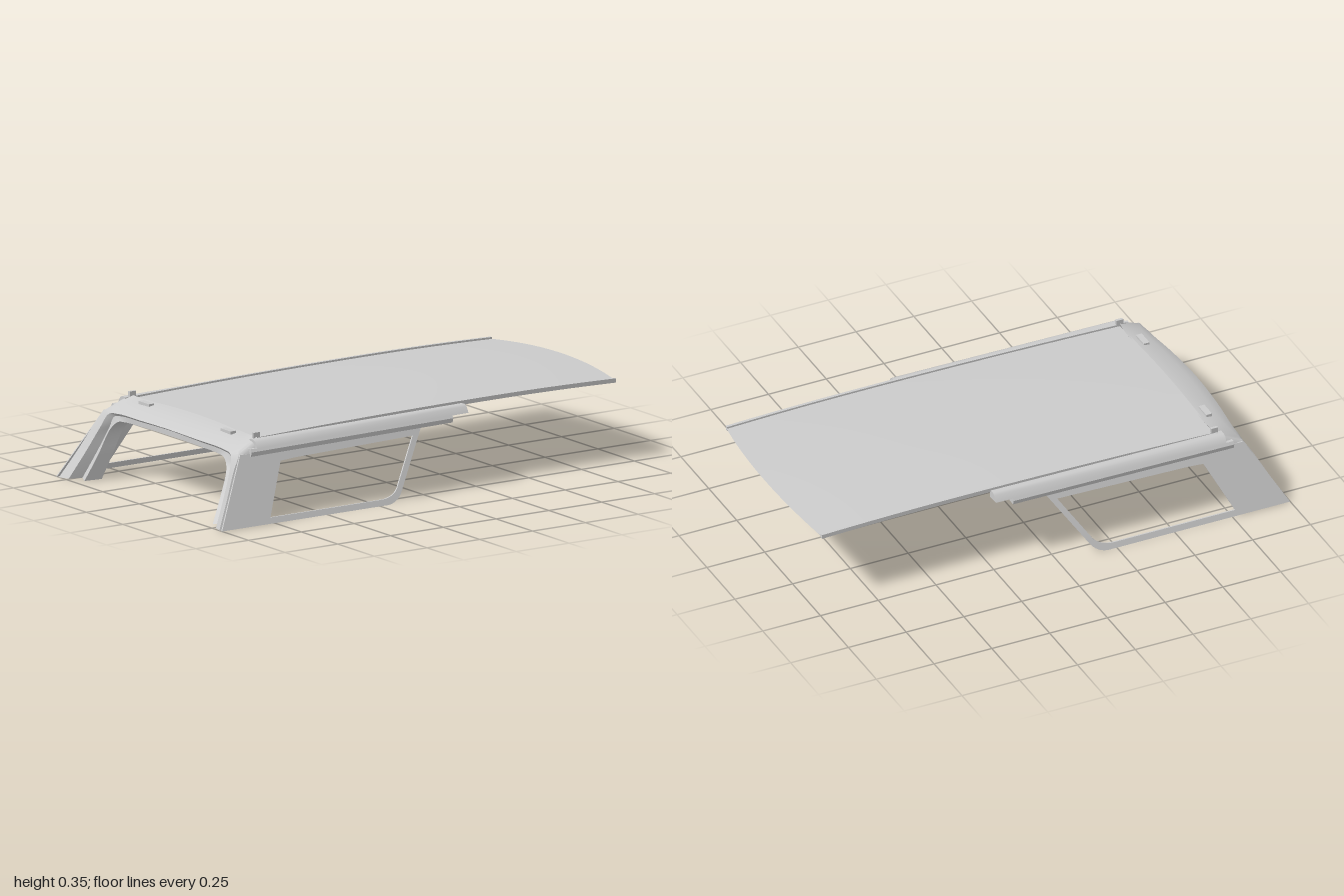
import * as THREE from 'three';
import { toCreasedNormals } from 'three/addons/utils/BufferGeometryUtils.js';

const material = new THREE.MeshStandardMaterial({ color: 0xcccccc, side: THREE.DoubleSide });

function addMesh(parent, name, geometry) {
  const mesh = new THREE.Mesh(geometry, material);
  mesh.name = name;
  parent.add(mesh);
  return mesh;
}

// Height of the gently crowned roof skin
function roofY(x, z) {
  const t = (x - 0.4) / (x > 0.4 ? 0.6 : 1.14);
  return 0.346 - (x > 0.4 ? 0.011 : 0.018) * t * t - 0.022 * (z / 0.43) ** 2;
}

const roofFrontX = (z) => 1 - 0.04 * (z / 0.43) ** 2;

// Move every vertex of a geometry by a rule
function deform(geometry, rule) {
  const p = geometry.attributes.position;
  const v = new THREE.Vector3();
  for (let i = 0; i < p.count; i++) {
    v.fromBufferAttribute(p, i);
    rule(v);
    p.setXYZ(i, v.x, v.y, v.z);
  }
  geometry.computeVertexNormals();
  return geometry;
}

function roofSkin() {
  const g = new THREE.PlaneGeometry(1, 0.86, 32, 24);
  g.rotateX(-Math.PI / 2);
  return deform(g, (v) => {
    v.x = THREE.MathUtils.lerp(-0.74, roofFrontX(v.z), v.x + 0.5);
    v.y = roofY(v.x, v.z);
  });
}

// Folded lip under the curved open end of the roof
function roofLip() {
  const g = new THREE.PlaneGeometry(0.86, 1, 24, 1);
  return deform(g, (v) => {
    const z = -v.x, low = v.y < 0;
    v.set(roofFrontX(z) - (low ? 0.015 : 0), 0, z);
    v.y = roofY(v.x, z) - (low ? 0.008 : 0);
  });
}

// Narrow rail that follows the roof's side edge
function edgeRail() {
  const g = new THREE.BoxGeometry(1.7, 0.017, 0.012, 32, 1, 1);
  return toCreasedNormals(deform(g, (v) => {
    v.x += 0.11;
    v.z += 0.425;
    v.y += roofY(v.x, 0.43);
  }), 0.5);
}

// Window surround with a rounded lower corner, leaning inwards towards the top
function sideFrame() {
  const shape = new THREE.Shape();
  shape.moveTo(-1, 0);
  shape.lineTo(-0.21, 0);
  shape.quadraticCurveTo(-0.165, 0.005, -0.14, 0.04);
  shape.lineTo(0.012, 0.265);
  shape.lineTo(-0.845, 0.265);
  const hole = new THREE.Path();
  hole.moveTo(-0.765, 0.023);
  hole.lineTo(-0.665, 0.222);
  hole.lineTo(-0.6, 0.226);
  hole.lineTo(-0.035, 0.237);
  hole.lineTo(-0.155, 0.058);
  hole.quadraticCurveTo(-0.18, 0.024, -0.24, 0.023);
  shape.holes.push(hole);
  const g = new THREE.ExtrudeGeometry(shape, { depth: 0.006, bevelEnabled: false, curveSegments: 8 });
  return deform(g, (v) => { v.z += 0.563 - 0.38 * v.y; });
}

// Constant [z, y] section run along x with a slight rise
function sideRail(section, x0, x1) {
  const shape = new THREE.Shape(section.map(([z, y]) => new THREE.Vector2(-z, y)));
  const g = new THREE.ExtrudeGeometry(shape, { depth: x1 - x0, bevelEnabled: false });
  g.rotateY(Math.PI / 2);
  return toCreasedNormals(deform(g, (v) => {
    v.x += x0;
    v.y += 0.01 * v.x;
  }), 0.6);
}

// Rear arch sections [x, y, z], from the foot of a pillar to the centre of the header
const archSections = [
  [[-0.8, 0, 0.562], [-1, 0, 0.55], [-0.985, 0, 0.505], [-0.93, 0, 0.49], [-0.955, 0, 0.44], [-0.88, 0, 0.43]],
  [[-0.79, 0.1, 0.525], [-0.942, 0.1, 0.515], [-0.93, 0.1, 0.475], [-0.885, 0.1, 0.46], [-0.905, 0.1, 0.42], [-0.84, 0.1, 0.412]],
  [[-0.78, 0.2, 0.488], [-0.888, 0.2, 0.482], [-0.88, 0.2, 0.445], [-0.845, 0.2, 0.43], [-0.863, 0.2, 0.4], [-0.8, 0.2, 0.394]],
  [[-0.745, 0.312, 0.445], [-0.845, 0.268, 0.457], [-0.856, 0.258, 0.42], [-0.843, 0.25, 0.4], [-0.85, 0.236, 0.365], [-0.785, 0.238, 0.36]],
  [[-0.735, 0.315, 0.36], [-0.81, 0.3, 0.36], [-0.852, 0.27, 0.36], [-0.843, 0.262, 0.34], [-0.845, 0.243, 0.32], [-0.775, 0.246, 0.32]],
  [[-0.735, 0.322, 0.2], [-0.815, 0.308, 0.2], [-0.864, 0.278, 0.2], [-0.85, 0.268, 0.2], [-0.85, 0.249, 0.2], [-0.775, 0.252, 0.2]],
  [[-0.735, 0.326, 0], [-0.82, 0.312, 0], [-0.87, 0.283, 0], [-0.852, 0.273, 0], [-0.852, 0.252, 0], [-0.775, 0.256, 0]],
];

// Both pillars and the header as one lofted arch
function rearArch() {
  const mirrored = archSections.slice(0, -1).reverse()
    .map((section) => section.map(([x, y, z]) => [x, y, -z]));
  const all = [...archSections, ...mirrored];
  const sides = 6, steps = 72, positions = [], index = [];
  const edges = [];
  for (let j = 0; j < sides; j++) {
    edges.push(new THREE.CatmullRomCurve3(all.map((s) => new THREE.Vector3(...s[j]))));
  }
  for (let i = 0; i <= steps; i++) {
    for (const edge of edges) positions.push(...edge.getPoint(i / steps).toArray());
  }
  for (let i = 0; i < steps; i++) {
    for (let j = 0; j < sides; j++) {
      const a = i * sides + j, b = i * sides + (j + 1) % sides;
      index.push(a, a + sides, b, b, a + sides, b + sides);
    }
  }
  // Caps at both feet
  const end = steps * sides;
  for (let j = 1; j < sides - 1; j++) {
    index.push(0, j, j + 1, end, end + j + 1, end + j);
  }
  const g = new THREE.BufferGeometry();
  g.setAttribute('position', new THREE.Float32BufferAttribute(positions, 3));
  g.setIndex(index);
  return toCreasedNormals(g, 0.6);
}

export function createModel() {
  const model = new THREE.Group();
  model.name = 'vehicleRoof';

  addMesh(model, 'roofPanel', roofSkin());
  addMesh(model, 'roofFrontLip', roofLip());
  addMesh(model, 'rearArch', rearArch());

  const upperSection = [[0.425, 0.32], [0.45, 0.321], [0.464, 0.314], [0.478, 0.29], [0.425, 0.288]];
  const lowerSection = [[0.44, 0.29], [0.475, 0.292], [0.482, 0.28], [0.477, 0.262], [0.445, 0.262]];

  for (const [side, s] of [['left', 1], ['right', -1]]) {
    const group = new THREE.Group();
    group.name = side === 'left' ? 'frontFacingSide' : 'backFacingSide';
    group.scale.z = s;
    addMesh(group, 'windowFrame', sideFrame());
    addMesh(group, 'roofEdgeRail', edgeRail());
    addMesh(group, 'upperSideRail', sideRail(upperSection, -0.77, 0.23));
    addMesh(group, 'lowerSideRail', sideRail(lowerSection, -0.8, 0.155));

    // Hinge plate on the header and end clip on the edge rail
    const hinge = addMesh(group, 'hingePlate', new THREE.BoxGeometry(0.025, 0.012, 0.07));
    hinge.position.set(-0.772, 0.316, 0.28);
    const clip = addMesh(group, 'railEndClip', new THREE.BoxGeometry(0.03, 0.03, 0.012));
    clip.position.set(-0.74, 0.32, 0.425);
    model.add(group);
  }
  return model;
}
